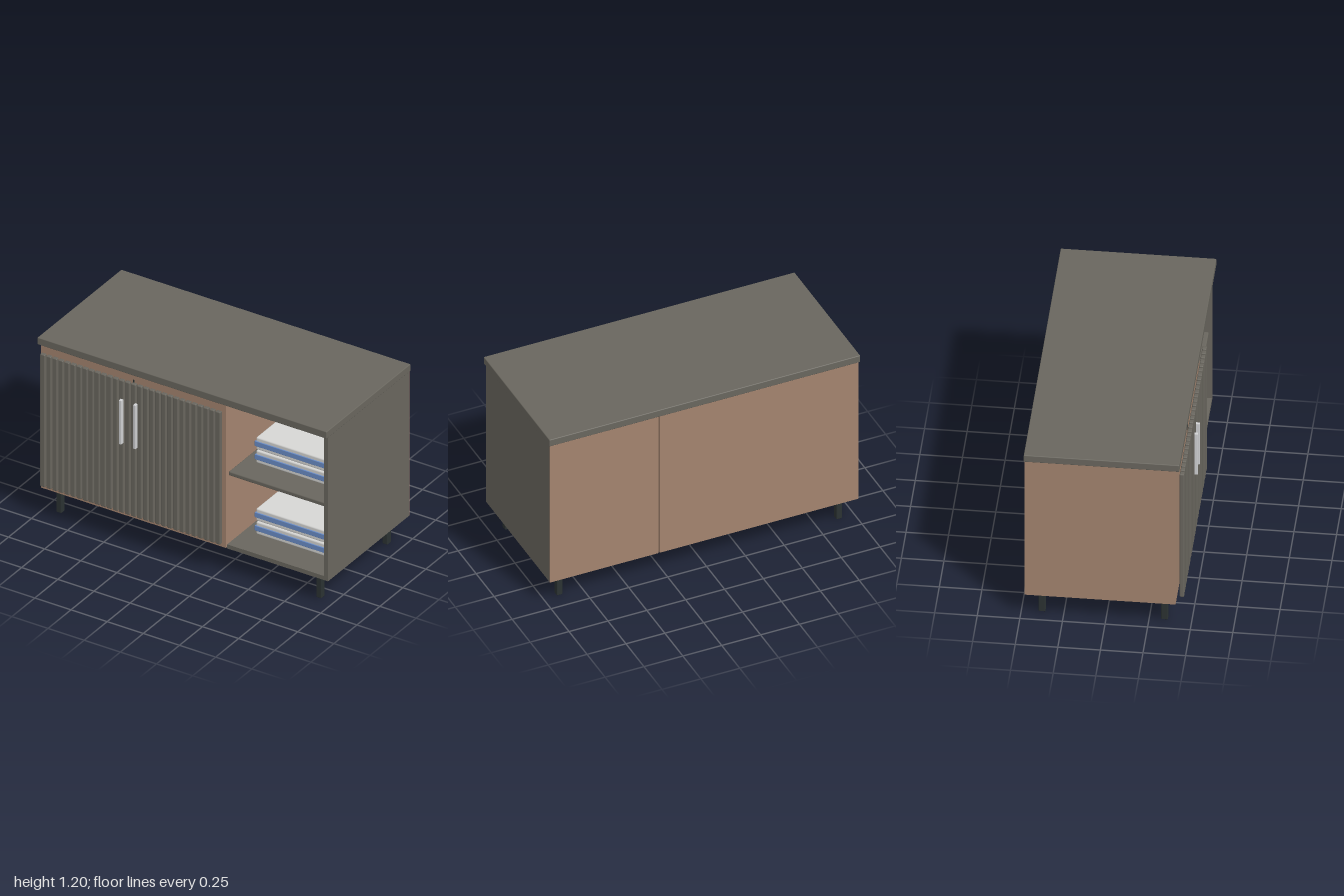
import * as THREE from 'three';
import { RoundedBoxGeometry } from 'three/addons/geometries/RoundedBoxGeometry.js';

const mat = (name, color) => {
  const m = new THREE.MeshStandardMaterial({ color });
  m.name = name;
  return m;
};

export function createModel() {
  const root = new THREE.Group();
  root.name = 'sideboard';
  const grey = mat('warm grey', 0x69665e);
  const wood = mat('wood', 0xa3846f);
  const iron = mat('dark iron', 0x2b3232);
  const silver = mat('silver', 0xcfd0d2);
  const white = mat('towel white', 0xd6d6d4);
  const blue = mat('stripe blue', 0x6a8dc8);

  // Box given by its limits on each axis, with optional rounded edges
  const box = (name, m, [x0, x1], [y0, y1], [z0, z1], r = 0, parent = root) => {
    const s = [x1 - x0, y1 - y0, z1 - z0];
    const g = r ? new RoundedBoxGeometry(...s, 2, r) : new THREE.BoxGeometry(...s);
    const mesh = new THREE.Mesh(g, m);
    mesh.name = name;
    mesh.position.set((x0 + x1) / 2, (y0 + y1) / 2, (z0 + z1) / 2);
    parent.add(mesh);
    return mesh;
  };
  const group = (name) => {
    const g = new THREE.Group();
    g.name = name;
    root.add(g);
    return g;
  };

  // Worktop
  box('worktop', grey, [-1, 1], [1.152, 1.2], [-0.478, 0.436], 0.005);

  // Closed cabinet
  box('cabinet', wood, [-0.99, 0.289], [0.17, 1.152], [-0.475, 0.413]);
  box('doorSeam', iron, [-0.351, -0.343], [0.21, 1.11], [0.412, 0.416]);

  // Open compartment
  box('sidePanel', grey, [0.966, 0.995], [0.17, 1.152], [-0.468, 0.413]);
  box('backPanel', wood, [0.298, 0.995], [0.17, 1.152], [-0.475, -0.468]);
  box('floorPanel', grey, [0.298, 0.966], [0.17, 0.198], [-0.468, 0.413]);
  box('shelf', grey, [0.296, 0.966], [0.656, 0.685], [-0.468, 0.395], 0.008);

  // Slatted doors, fifteen slats each
  const slats = group('doorSlats');
  for (let i = 0; i < 30; i++) {
    const x = -0.951 + i * 0.0418;
    box('slat', grey, [x - 0.0165, x + 0.0165], [0.21, 1.11], [0.434, 0.46], 0.006, slats);
  }

  // Handles
  for (const x of [-0.401, -0.302]) {
    box('handle', silver, [x - 0.009, x + 0.009], [0.686, 0.986], [0.454, 0.481], 0.004);
  }

  // Base frame and legs
  box('baseFrame', iron, [-0.9, 0.9], [0.137, 0.17], [-0.39, 0.35]);
  for (const x of [-0.901, 0.897]) {
    for (const z of [-0.379, 0.34]) {
      box('leg', iron, [x - 0.018, x + 0.018], [0, 0.17], [z - 0.02, z + 0.02], 0.005);
    }
  }

  // Folded towels with a coloured band around each
  const towels = group('foldedTowels');
  for (const base of [0.202, 0.687]) {
    for (let i = 0; i < 2; i++) {
      const y = base + i * 0.09;
      box('towelLowerFold', white, [0.38, 0.882], [y, y + 0.042], [-0.25, 0.23], 0.01, towels);
      box('towelUpperFold', white, [0.38, 0.882], [y + 0.04, y + 0.085], [-0.25, 0.23], 0.01, towels);
      box('towelBand', blue, [0.374, 0.888], [y + 0.025, y + 0.06], [-0.256, 0.236], 0.004, towels);
    }
  }
  return root;
}
